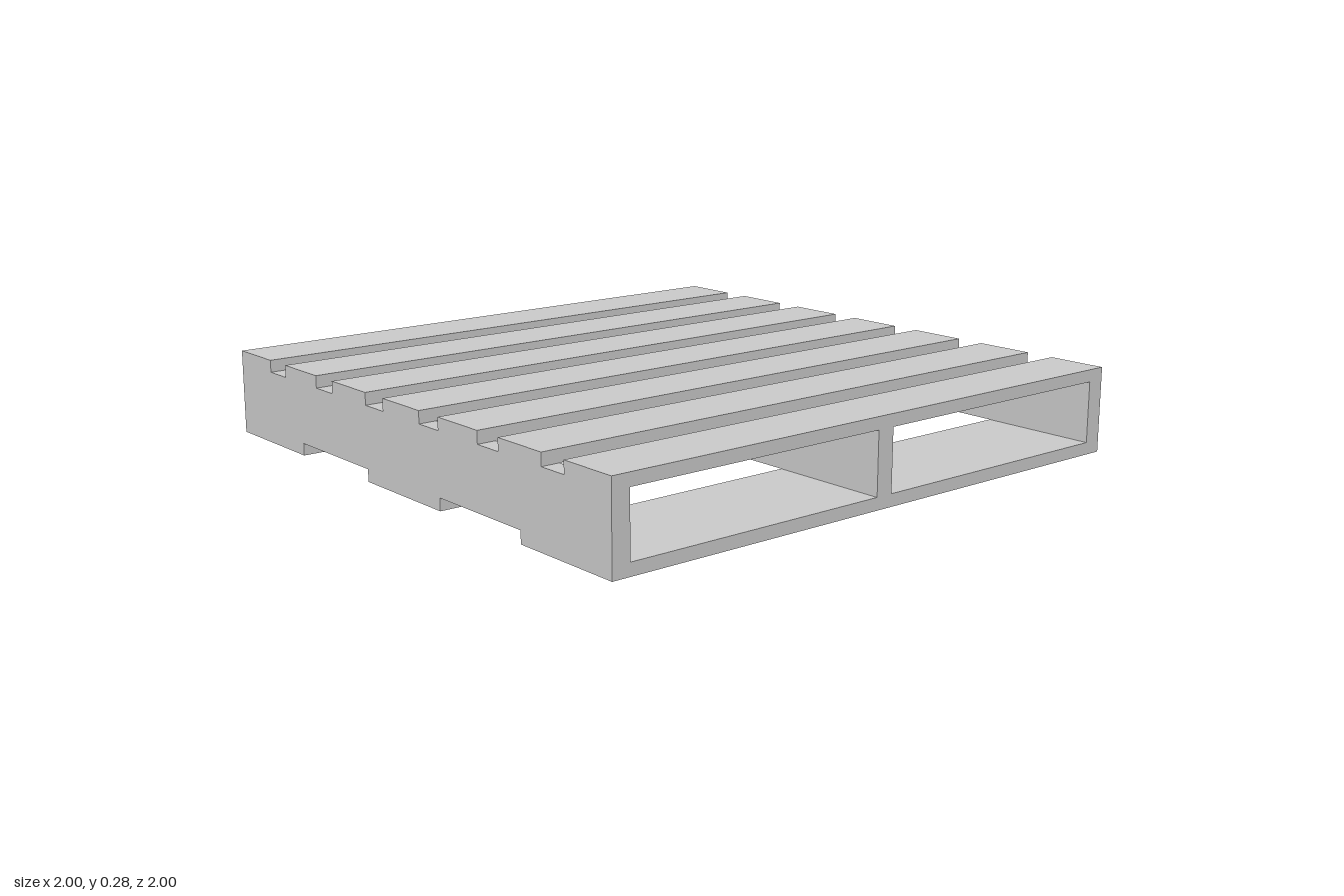
import * as THREE from 'three';

export function createModel() {
  const pallet = new THREE.Group();
  pallet.name = 'pallet';
  const material = new THREE.MeshStandardMaterial({ color: 0xcccccc, flatShading: true });

  const length = 2, board = 0.04, stringerHeight = 0.2, stringerWidth = 0.06;

  function addBoard(name, w, h, d, x, bottom, z) {
    const mesh = new THREE.Mesh(new THREE.BoxGeometry(w, h, d), material);
    mesh.name = name;
    mesh.position.set(x, bottom + h / 2, z);
    pallet.add(mesh);
  }

  // Three wide boards on the ground
  for (const z of [-0.8, 0, 0.8]) addBoard('bottomBoard', length, board, 0.4, 0, 0, z);

  // Three upright stringers running front to back
  for (const x of [-0.97, 0, 0.97]) {
    addBoard('stringer', stringerWidth, stringerHeight, length, x, board, 0);
  }

  // Seven evenly spaced deck slats
  for (let i = -3; i <= 3; i++) {
    addBoard('deckSlat', length, board, 0.2, 0, board + stringerHeight, i * 0.3);
  }

  return pallet;
}
